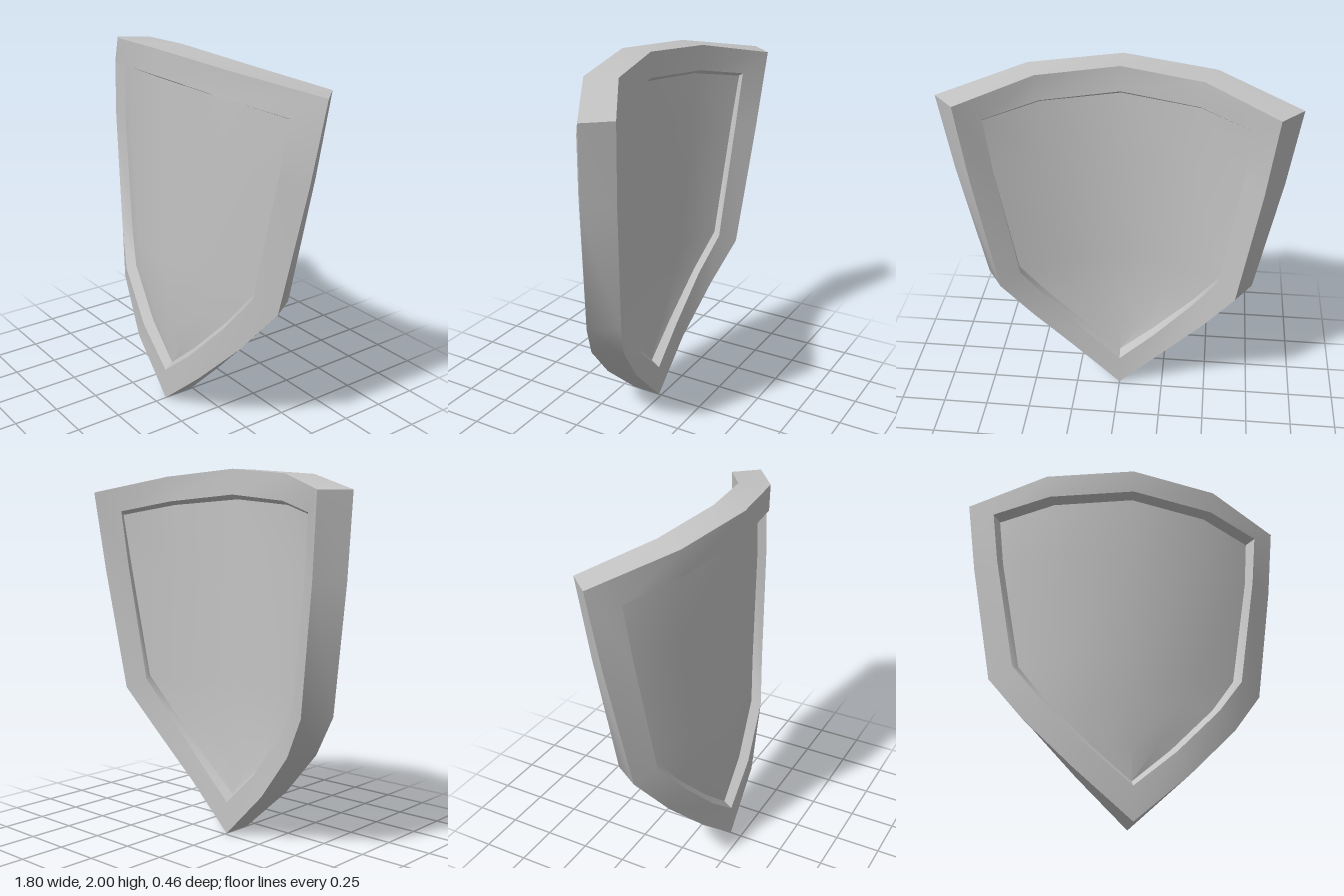
import * as THREE from 'three';
import { toCreasedNormals } from 'three/addons/utils/BufferGeometryUtils.js';

// Half outlines from top centre, round the +x side, to the bottom tip
const outer = [[0, 2, 0.23], [0.48, 1.965, 0.145], [0.9, 1.88, -0.105], [0.845, 1.45, -0.065],
  [0.73, 0.77, 0], [0.555, 0.53, 0.097], [0.3, 0.265, 0.168], [0, 0, 0.185]];
const inner = [[0, 1.865, 0.23], [0.46, 1.83, 0.15], [0.76, 1.775, 0], [0.725, 1.47, 0.025],
  [0.615, 0.825, 0.07], [0.465, 0.62, 0.14], [0.225, 0.37, 0.18], [0, 0.18, 0.185]];
const field = [[0, 1.84, 0.18], [0.43, 1.81, 0.1], [0.72, 1.755, -0.045], [0.69, 1.47, -0.015],
  [0.58, 0.84, 0.025], [0.44, 0.64, 0.09], [0.205, 0.395, 0.13], [0, 0.215, 0.14]];
const fieldCentreZ = [0.18, 0.18, 0.18, 0.172, 0.155, 0.14];

const THICKNESS = 0.17;

// Moves a point backwards through the curved shield
function pushBack([x, y, z], t) {
  const dx = -0.125 * x;
  return [x + dx * t, y, z - Math.sqrt(THICKNESS ** 2 - dx * dx) * t];
}

// Mirrors a half outline into a closed loop
const fullLoop = (half) =>
  [...half, ...half.slice(1, -1).reverse().map(([x, y, z]) => [-x, y, z])];

// Skins rows of points with quads; closed joins the ends of each row
function skin(rows, closed, flip = false) {
  const n = rows[0].length;
  const index = [];
  for (let r = 0; r < rows.length - 1; r++) {
    for (let j = 0; j < (closed ? n : n - 1); j++) {
      const k = (j + 1) % n;
      const a = r * n + j, b = (r + 1) * n + j, c = (r + 1) * n + k, d = r * n + k;
      if (flip) index.push(a, d, b, b, d, c);
      else index.push(a, b, d, b, c, d);
    }
  }
  const geometry = new THREE.BufferGeometry();
  geometry.setAttribute('position', new THREE.Float32BufferAttribute(rows.flat(2), 3));
  geometry.setIndex(index);
  geometry.computeVertexNormals();
  return geometry;
}

export function createModel() {
  const shield = new THREE.Group();
  shield.name = 'shield';
  const grey = new THREE.MeshStandardMaterial({ color: 0xc4c4c4 });
  grey.name = 'plain grey';

  const add = (name, geometry) => {
    const mesh = new THREE.Mesh(geometry, grey);
    mesh.name = name;
    shield.add(mesh);
  };

  // Raised rim: inner bevel at the back, round the outside, to the front bevel
  const loops = [
    field.map((p) => pushBack(p, 0.46)),
    inner.map((p) => pushBack(p, 1)),
    outer.map((p) => pushBack(p, 1)),
    outer, inner, field,
  ].map(fullLoop);
  add('rim', toCreasedNormals(skin(loops, true), 0.55));

  // Recessed curved panel: each row arcs from edge to edge
  const columns = [-1, -0.6, 0, 0.6, 1];
  const rows = field.slice(2).map(([x, y, z], r) => columns.map((u) => {
    if (r === 0 && Math.abs(u) < 1) {
      const top = field[u === 0 ? 0 : 1];
      return [Math.sign(u) * top[0], top[1], top[2]];
    }
    return [u * x, y, fieldCentreZ[r] + (z - fieldCentreZ[r]) * u * u];
  }));
  add('frontPanel', skin(rows, false));
  add('backPanel', skin(rows.map((row) => row.map((p) => pushBack(p, 0.46))), false, true));

  return shield;
}
